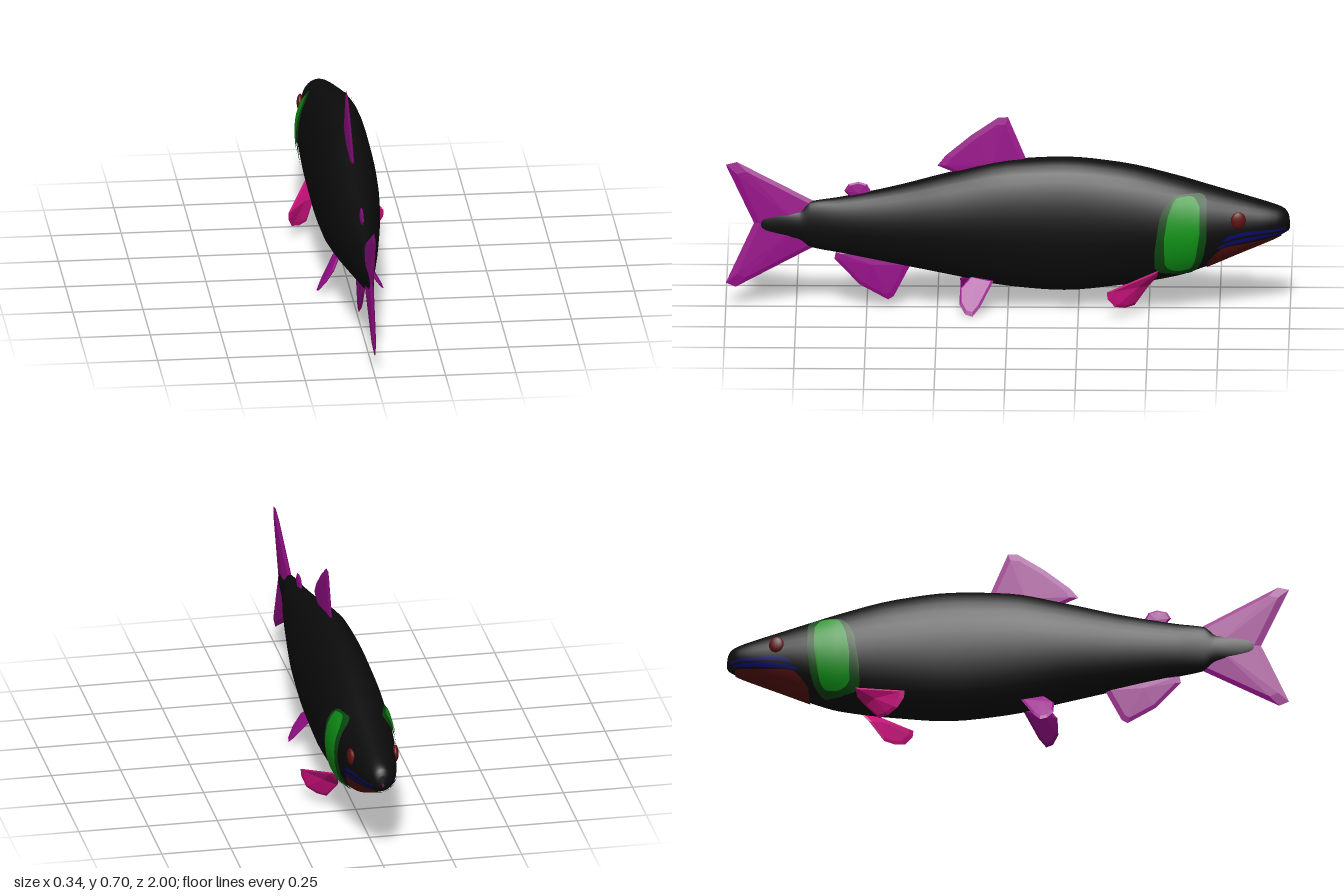
import * as THREE from 'three';

const mat = (name, color, side = THREE.FrontSide) => {
  const m = new THREE.MeshStandardMaterial({ color, side });
  m.name = name;
  return m;
};

// Body stations: z, top y, bottom y, half width (nose at -z, tail at +z)
const STATIONS = [
  [-1, 0.32, 0.305, 0.004], [-0.995, 0.35, 0.294, 0.022], [-0.98, 0.372, 0.284, 0.038],
  [-0.95, 0.386, 0.268, 0.054], [-0.9, 0.402, 0.246, 0.068], [-0.8, 0.432, 0.203, 0.086],
  [-0.7, 0.462, 0.16, 0.102], [-0.6, 0.492, 0.125, 0.112], [-0.4, 0.54, 0.09, 0.116],
  [-0.2, 0.56, 0.07, 0.115], [0, 0.549, 0.085, 0.112], [0.2, 0.503, 0.125, 0.1],
  [0.4, 0.45, 0.165, 0.075], [0.6, 0.408, 0.205, 0.046], [0.7, 0.392, 0.224, 0.028],
  [0.74, 0.36, 0.25, 0.022], [0.82, 0.355, 0.26, 0.013], [0.87, 0.34, 0.277, 0.008],
  [0.885, 0.315, 0.3, 0.002],
];

// Monotone cubic interpolation of rows keyed by their first value
function sample(rows, z, k) {
  const n = rows.length - 1;
  let i = 0;
  while (i < n - 1 && (z - rows[i + 1][0]) * Math.sign(rows[n][0] - rows[0][0]) > 0) i++;
  const slope = (j) => (rows[j + 1][k] - rows[j][k]) / (rows[j + 1][0] - rows[j][0]);
  const tangent = (j) => {
    if (j === 0) return slope(0);
    if (j === n) return slope(n - 1);
    const a = slope(j - 1), b = slope(j);
    return a * b > 0 ? (2 * a * b) / (a + b) : 0;
  };
  const h = rows[i + 1][0] - rows[i][0], t = (z - rows[i][0]) / h, t2 = t * t, t3 = t2 * t;
  return (2 * t3 - 3 * t2 + 1) * rows[i][k] + (t3 - 2 * t2 + t) * h * tangent(i)
    + (3 * t2 - 2 * t3) * rows[i + 1][k] + (t3 - t2) * h * tangent(i + 1);
}

function section(z) {
  const top = sample(STATIONS, z, 1), bottom = sample(STATIONS, z, 2);
  return { c: (top + bottom) / 2, h: (top - bottom) / 2, w: sample(STATIONS, z, 3) };
}

function buildGeometry(positions, index) {
  const g = new THREE.BufferGeometry();
  g.setAttribute('position', new THREE.Float32BufferAttribute(positions, 3));
  if (index) g.setIndex(index);
  g.computeVertexNormals();
  return g;
}

// Smooth loft of elliptical rings
function bodyGeometry() {
  const SEG = 32, SUB = 4, zs = [], pos = [], idx = [];
  for (let i = 0; i < STATIONS.length - 1; i++)
    for (let s = 0; s < SUB; s++)
      zs.push(THREE.MathUtils.lerp(STATIONS[i][0], STATIONS[i + 1][0], s / SUB));
  zs.push(STATIONS[STATIONS.length - 1][0]);
  zs.forEach((z, i) => {
    const { c, h, w } = section(z);
    for (let j = 0; j < SEG; j++) {
      const a = (j / SEG) * Math.PI * 2;
      pos.push(w * Math.sin(a), c + h * Math.cos(a), z);
      if (i === zs.length - 1) continue;
      const p = i * SEG + j, q = i * SEG + ((j + 1) % SEG);
      idx.push(p, p + SEG, q, q, p + SEG, q + SEG);
    }
  });
  return buildGeometry(pos, idx);
}

// Thin painted skin following the flank; columns are [z, low y, high y], z falling
function patchGeometry(columns, side, offset) {
  const N = 20, M = 10, pos = [], idx = [];
  const z0 = columns[0][0], z1 = columns[columns.length - 1][0];
  for (let i = 0; i <= N; i++) {
    const z = THREE.MathUtils.lerp(z0, z1, i / N), { c, h, w } = section(z);
    const angle = (k) => Math.asin(THREE.MathUtils.clamp((sample(columns, z, k) - c) / h, -1, 1));
    const low = angle(1), high = angle(2);
    for (let j = 0; j <= M; j++) {
      const a = THREE.MathUtils.lerp(low, high, j / M);
      pos.push(side * (w + offset) * Math.cos(a), c + (h + offset) * Math.sin(a), z);
      if (i === N || j === M) continue;
      const p = i * (M + 1) + j, q = p + M + 1;
      if (side > 0) idx.push(p, q, p + 1, p + 1, q, q + 1);
      else idx.push(p, p + 1, q, p + 1, q + 1, q);
    }
  }
  return buildGeometry(pos, idx);
}

// Faceted lens: thickest at the root centre, bevelled to a sharp rim
function finGeometry(outline, centre, thickness) {
  const c = new THREE.Vector3(...centre), rim = outline.map((p) => new THREE.Vector3(...p));
  const normal = new THREE.Vector3(), n = rim.length, pos = [];
  rim.forEach((p, i) => normal.add(p.clone().sub(c).cross(rim[(i + 1) % n].clone().sub(c))));
  normal.normalize();
  for (const d of [1, -1]) {
    const lift = (p, t) => p.clone().addScaledVector(normal, d * t);
    const tri = (a, b, e) => (d > 0 ? [a, b, e] : [a, e, b]).forEach((v) => pos.push(v.x, v.y, v.z));
    const hub = lift(c, thickness);
    const mid = rim.map((p) => lift(c.clone().lerp(p, 0.85), thickness * 0.5));
    for (let i = 0; i < n; i++) {
      const k = (i + 1) % n;
      tri(hub, mid[i], mid[k]);
      tri(mid[i], rim[i], rim[k]);
      tri(mid[i], rim[k], mid[k]);
    }
  }
  return buildGeometry(pos);
}

export function createModel() {
  const group = new THREE.Group();
  group.name = 'fish';
  const skin = mat('black skin', 0x0c0c0c);
  const finMat = mat('purple fin', 0x9a0f8c);
  const pectoralMat = mat('pink fin', 0xc8107a);
  const gillMat = mat('bright green gill', 0x0f9416);
  const gillRim = mat('dark green gill rim', 0x0c4a10);
  const red = mat('dark red', 0x5e1210);
  const blue = mat('navy mouth', 0x0c0c6a);
  const add = (name, geometry, material) => {
    const m = new THREE.Mesh(geometry, material);
    m.name = name;
    group.add(m);
    return m;
  };

  add('body', bodyGeometry(), skin);

  // Fins on the centre line, outlines as [z, y]
  const flat = (pts) => pts.map(([z, y]) => [0, y, z]);
  add('dorsalFin', finGeometry(flat([[-0.065, 0.55], [0, 0.707], [0.035, 0.705], [0.13, 0.64],
    [0.22, 0.565], [0.25, 0.527], [0.185, 0.5], [0.06, 0.48]]), [0, 0.53, 0.06], 0.009), finMat);
  add('adiposeFin', finGeometry(flat([[0.485, 0.43], [0.5, 0.457], [0.53, 0.466], [0.565, 0.457],
    [0.58, 0.432], [0.56, 0.41], [0.51, 0.4]]), [0, 0.425, 0.53], 0.007), finMat);
  add('analFin', finGeometry(flat([[0.345, 0.16], [0.405, 0.042], [0.425, 0.03], [0.525, 0.085],
    [0.615, 0.18], [0.61, 0.205], [0.48, 0.21]]), [0, 0.16, 0.48], 0.009), finMat);
  add('tailFin', finGeometry(flat([[0.69, 0.395], [0.96, 0.537], [1, 0.527], [0.9, 0.312],
    [1, 0.09], [0.965, 0.075], [0.69, 0.224]]), [0, 0.311, 0.74], 0.013), finMat);

  // Paired parts
  for (const s of [1, -1]) {
    const side = s > 0 ? 'left' : 'right';
    const pelvic = [[0.05, 0.115], [0.1, 0.03], [0.125, 0.003], [0.15, 0.01], [0.17, 0.04],
      [0.17, 0.09], [0.13, 0.13]].map(([z, y]) => [s * (0.05 + (0.113 - y) * 0.63), y, z]);
    add(side + 'PelvicFin', finGeometry(pelvic, [s * 0.06, 0.095, 0.125], 0.008), finMat);
    const pectoral = [[0.09, 0.168, -0.535], [0.17, 0.111, -0.352], [0.168, 0.085, -0.355],
      [0.155, 0.053, -0.38], [0.125, 0.04, -0.415], [0.095, 0.042, -0.45], [0.065, 0.105, -0.5],
      [0.07, 0.14, -0.53]].map(([x, y, z]) => [s * x, y, z]);
    add(side + 'PectoralFin', finGeometry(pectoral, [s * 0.105, 0.115, -0.46], 0.008), pectoralMat);

    add(side + 'GillRim', patchGeometry([[-0.52, 0.18, 0.24], [-0.54, 0.16, 0.37], [-0.57, 0.155, 0.42],
      [-0.6, 0.15, 0.44], [-0.64, 0.15, 0.443], [-0.67, 0.17, 0.443], [-0.69, 0.21, 0.44],
      [-0.705, 0.29, 0.42]], s, 0.005), gillRim);
    add(side + 'GillCover', patchGeometry([[-0.555, 0.2, 0.3], [-0.57, 0.18, 0.38], [-0.6, 0.17, 0.43],
      [-0.64, 0.175, 0.435], [-0.66, 0.2, 0.43], [-0.68, 0.31, 0.4]], s, 0.009), gillMat);
    add(side + 'LowerJaw', patchGeometry([[-0.705, 0.1, 0.19], [-0.735, 0.1, 0.228], [-0.765, 0.1, 0.252],
      [-0.85, 0.1, 0.266], [-0.92, 0.1, 0.278], [-0.97, 0.1, 0.288]], s, 0.004), red);
    // Upper and lower lip lines with a dark gap between
    add(side + 'UpperLip', patchGeometry([[-0.765, 0.274, 0.285], [-0.79, 0.284, 0.299],
      [-0.85, 0.296, 0.31], [-0.92, 0.302, 0.313], [-0.985, 0.307, 0.315]], s, 0.004), blue);
    add(side + 'LowerLip', patchGeometry([[-0.745, 0.248, 0.258], [-0.79, 0.262, 0.276],
      [-0.85, 0.273, 0.288], [-0.92, 0.284, 0.296], [-0.975, 0.293, 0.3]], s, 0.004), blue);

    const eye = add(side + 'Eye', new THREE.SphereGeometry(1, 16, 12), red);
    eye.scale.set(0.012, 0.031, 0.027);
    eye.position.set(s * 0.08, 0.351, -0.817);
    eye.rotation.y = s * 0.16;
  }
  return group;
}
